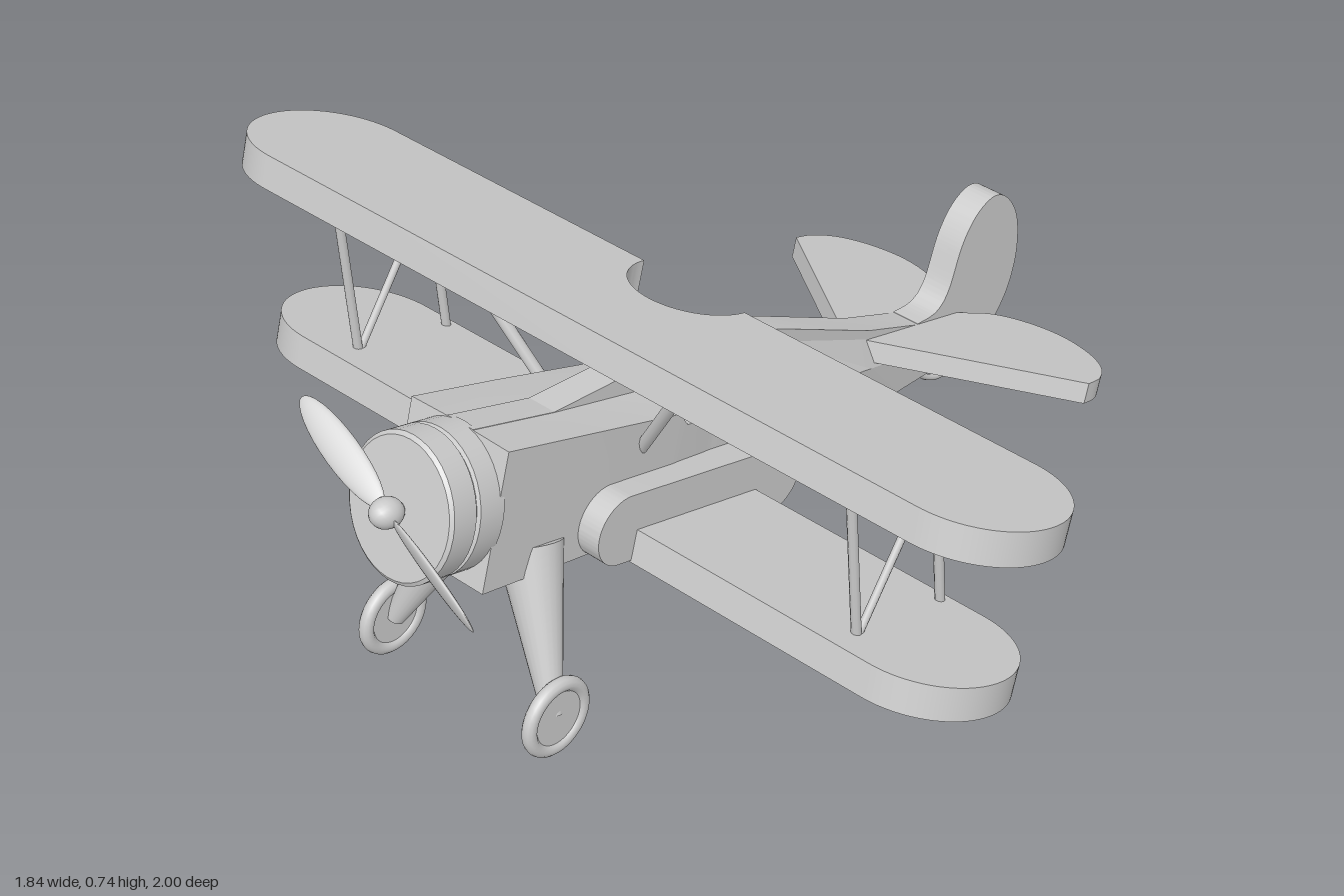
import * as THREE from 'three';
import { toCreasedNormals } from 'three/addons/utils/BufferGeometryUtils.js';

const material = new THREE.MeshStandardMaterial({ color: 0xcccccc });
const V2 = (p) => new THREE.Vector2(p[0], p[1]);
const V3 = (x, y, z) => new THREE.Vector3(x, y, z);

function add(parent, name, geometry) {
  const mesh = new THREE.Mesh(geometry, material);
  mesh.name = name;
  parent.add(mesh);
  return mesh;
}

// Slab of even thickness, centred on z = 0
function slab(shape, thickness) {
  const g = new THREE.ExtrudeGeometry(shape, { depth: thickness, bevelEnabled: false, curveSegments: 24 });
  g.translate(0, 0, -thickness / 2);
  return toCreasedNormals(g, 0.5);
}

// Round bar between two points
function bar(parent, name, a, b, r0, r1 = r0, sides = 10) {
  const dir = b.clone().sub(a);
  const mesh = add(parent, name, new THREE.CylinderGeometry(r1, r0, dir.length(), sides));
  mesh.position.copy(a).addScaledVector(dir, 0.5);
  mesh.quaternion.setFromUnitVectors(V3(0, 1, 0), dir.normalize());
  return mesh;
}

// Wing outline with round tips and an optional round notch in the trailing edge
function wingGeometry(halfSpan, notch) {
  const c = 0.174, end = halfSpan - c;
  const s = new THREE.Shape();
  s.moveTo(-c, -end);
  s.absarc(0, -end, c, Math.PI, Math.PI * 2, false);
  if (notch) {
    s.lineTo(c, -notch);
    s.absarc(c, 0, notch, -Math.PI / 2, Math.PI / 2, true);
  }
  s.lineTo(c, end);
  s.absarc(0, end, c, 0, Math.PI, false);
  s.closePath();
  return slab(s, 0.07).rotateX(Math.PI / 2);
}

// Body from cross-sections: [x, half width, bottom, shoulder, spine foot, spine top]
function fuselageGeometry(stations, spine) {
  const pos = [], index = [], n = 8;
  for (const [x, w, bottom, shoulder, foot, top] of stations) {
    const half = [[bottom, w], [shoulder, w], [foot, spine], [top, spine]];
    half.forEach(([y, z]) => pos.push(x, y, z));
    half.reverse().forEach(([y, z]) => pos.push(x, y, -z));
  }
  for (let i = 0; i < stations.length - 1; i++) {
    for (let j = 0; j < n; j++) {
      const a = i * n + j, b = i * n + (j + 1) % n;
      index.push(a, a + n, b, b, a + n, b + n);
    }
  }
  const last = (stations.length - 1) * n;
  for (let j = 1; j < n - 1; j++) {
    index.push(0, j, j + 1, last, last + j + 1, last + j);
  }
  const g = new THREE.BufferGeometry();
  g.setAttribute('position', new THREE.Float32BufferAttribute(pos, 3));
  g.setIndex(index);
  return toCreasedNormals(g, 0.2);
}

export function createModel() {
  const model = new THREE.Group();
  model.name = 'biplane';
  // Everything is built level along x, nose at -x, then tipped back onto the tail skid
  const plane = new THREE.Group();
  plane.name = 'airframe';
  plane.rotation.z = -0.285;
  model.add(plane);

  // Fuselage with open cockpit and narrow spine
  add(plane, 'fuselage', fuselageGeometry([
    [-0.85, 0.125, 0.153, 0.445, 0.447, 0.448],
    [-0.63, 0.125, 0.16, 0.43, 0.433, 0.434],
    [-0.366, 0.122, 0.168, 0.41, 0.425, 0.481],
    [-0.362, 0.122, 0.168, 0.405, 0.41, 0.415],
    [-0.335, 0.12, 0.169, 0.38, 0.382, 0.384],
    [-0.265, 0.117, 0.171, 0.378, 0.379, 0.38],
    [-0.243, 0.115, 0.172, 0.395, 0.4, 0.405],
    [-0.239, 0.115, 0.172, 0.4, 0.46, 0.493],
    [-0.04, 0.113, 0.177, 0.37, 0.452, 0.477],
    [0.014, 0.104, 0.184, 0.36, 0.445, 0.473],
    [0.326, 0.06, 0.224, 0.33, 0.385, 0.405],
    [0.59, 0.034, 0.257, 0.32, 0.36, 0.372],
  ], 0.033));

  // Engine cowling: two rings with a groove between
  const cowlProfile = [[0, -0.974], [0.14, -0.974], [0.148, -0.968], [0.148, -0.912],
    [0.14, -0.909], [0.14, -0.904], [0.148, -0.901], [0.148, -0.84], [0, -0.84]];
  const cowl = add(plane, 'cowling', toCreasedNormals(
    new THREE.LatheGeometry(cowlProfile.map(V2), 40).rotateZ(-Math.PI / 2), 0.5));
  cowl.position.y = 0.302;
  cowl.scale.z = 0.9;

  // Propeller: hub and two pitched blades
  const propeller = new THREE.Group();
  propeller.name = 'propeller';
  propeller.position.set(-1.005, 0.302, 0);
  propeller.rotation.x = -1.12;
  plane.add(propeller);
  add(propeller, 'spinner', new THREE.SphereGeometry(0.03, 20, 14)).scale.x = 1.2;
  add(propeller, 'propellerShaft', new THREE.CylinderGeometry(0.016, 0.016, 0.06, 16).rotateZ(Math.PI / 2)).position.x = 0.02;
  for (const side of [1, -1]) {
    const blade = add(propeller, 'propellerBlade', new THREE.SphereGeometry(1, 20, 16));
    blade.scale.set(0.008, 0.132, 0.034);
    blade.position.y = side * 0.145;
    blade.rotation.y = side * 0.6;
  }

  // Wings
  add(plane, 'upperWing', wingGeometry(1, 0.13)).position.set(-0.419, 0.567, 0);
  add(plane, 'lowerWing', wingGeometry(0.92, 0)).position.set(-0.327, 0.188, 0);

  // Rounded block where the lower wing meets the fuselage
  const root = new THREE.Shape();
  root.absarc(-0.093, 0.23, 0.073, -Math.PI / 2, Math.PI / 2, false);
  root.absarc(-0.536, 0.23, 0.073, Math.PI / 2, Math.PI * 1.5, false);
  root.closePath();
  add(plane, 'wingRootFairing', slab(root, 0.355));

  // Tail fin with rudder
  const finOutline = [[0.558, 0.401], [0.586, 0.445], [0.598, 0.546], [0.625, 0.61], [0.671, 0.645],
    [0.722, 0.637], [0.775, 0.59], [0.806, 0.52], [0.815, 0.45], [0.803, 0.38], [0.76, 0.305],
    [0.69, 0.264], [0.574, 0.256]];
  const fin = new THREE.Shape();
  fin.moveTo(0.5, 0.385);
  fin.splineThru(finOutline.map(V2));
  fin.lineTo(0.5, 0.26);
  fin.closePath();
  add(plane, 'tailFin', slab(fin, 0.066));

  for (const side of [1, -1]) {
    // Tailplane half
    const tail = new THREE.Shape();
    tail.moveTo(0.32, 0);
    tail.lineTo(0.325, side * 0.035);
    tail.lineTo(0.615, side * 0.4);
    tail.splineThru([[0.665, 0.393], [0.715, 0.36], [0.75, 0.3], [0.765, 0.22], [0.75, 0.14],
      [0.71, 0.075], [0.64, 0.035]].map(([x, z]) => V2([x, z * side])));
    tail.lineTo(0.6, 0);
    tail.closePath();
    add(plane, 'tailplane', slab(tail, 0.046).rotateX(Math.PI / 2)).position.y = 0.361;

    // N-shaped struts between the wings
    const z = side * 0.66;
    bar(plane, 'frontWingStrut', V3(-0.426, 0.209, z), V3(-0.553, 0.545, z), 0.01);
    bar(plane, 'diagonalWingStrut', V3(-0.426, 0.209, z), V3(-0.303, 0.545, z), 0.008);
    bar(plane, 'rearWingStrut', V3(-0.172, 0.209, z), V3(-0.303, 0.545, z), 0.01);

    // Struts from fuselage to upper wing
    bar(plane, 'frontCabaneStrut', V3(-0.452, 0.352, side * 0.11), V3(-0.556, 0.545, side * 0.25), 0.013);
    bar(plane, 'rearCabaneStrut', V3(-0.18, 0.348, side * 0.105), V3(-0.303, 0.545, side * 0.25), 0.013);

    // Landing gear leg and wheel
    bar(plane, 'landingGearLeg', V3(-0.69, -0.105, side * 0.212), V3(-0.69, 0.2, side * 0.08), 0.02, 0.065, 24);
    const wheel = new THREE.Group();
    wheel.name = 'wheel';
    wheel.position.set(-0.689, -0.105, side * 0.22);
    plane.add(wheel);
    add(wheel, 'tyre', new THREE.TorusGeometry(0.07, 0.015, 12, 36));
    add(wheel, 'wheelDisc', new THREE.CylinderGeometry(0.062, 0.062, 0.016, 32).rotateX(Math.PI / 2));
  }

  // Tail skid
  const skid = new THREE.CatmullRomCurve3([V3(0.56, 0.275, 0), V3(0.585, 0.245, 0),
    V3(0.622, 0.222, 0), V3(0.667, 0.213, 0), V3(0.717, 0.222, 0)]);
  add(plane, 'tailSkid', new THREE.TubeGeometry(skid, 20, 0.007, 8));

  return model;
}
